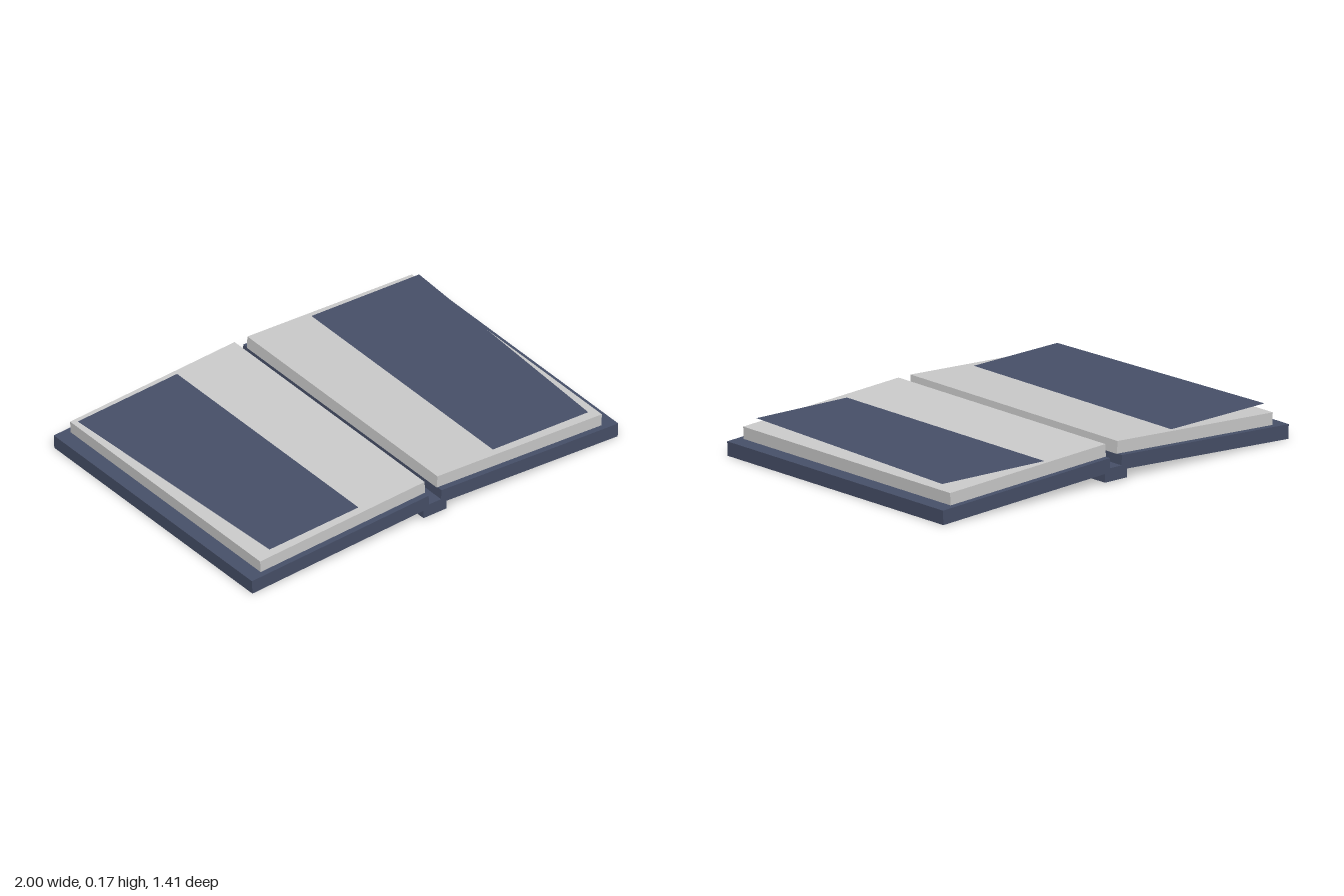
import * as THREE from 'three';

export function createModel() {
  const model = new THREE.Group();
  model.name = 'openBook';
  const navy = new THREE.MeshStandardMaterial({ color: 0x475069, side: THREE.DoubleSide });
  navy.name = 'navyCover';
  const paper = new THREE.MeshStandardMaterial({ color: 0xcccccc });
  paper.name = 'palePaper';

  const outline = (points, side) =>
    new THREE.Shape(points.map(([x, y]) => new THREE.Vector2(x * side, y)));

  // Extrude an x/y cross-section along z, centred on z = 0
  function slab(name, points, depth, material, side = 1) {
    const geometry = new THREE.ExtrudeGeometry(outline(points, side), { depth, bevelEnabled: false });
    geometry.translate(0, 0, -depth / 2);
    add(name, geometry, material);
  }

  function add(name, geometry, material) {
    const mesh = new THREE.Mesh(geometry, material);
    mesh.name = name;
    model.add(mesh);
    return mesh;
  }

  for (const [label, side] of [['left', 1], ['right', -1]]) {
    // Sloping cover board
    slab(label + 'Cover', [[0.032, 0.05], [0.997, 0], [1, 0.066], [0.035, 0.115]], 1.414, navy, side);

    // Page block resting on the board
    slab(label + 'Pages', [[0.032, 0.114], [0.93, 0.068], [0.933, 0.126], [0.035, 0.172]], 1.356, paper, side);

    // Level loose sheet, twisted slightly, sinking into the pages towards the spine
    const sheet = new THREE.ShapeGeometry(
      outline([[0.15, -0.666], [0.932, -0.625], [0.87, 0.663], [0.15, 0.63]], side));
    sheet.rotateX(Math.PI / 2);
    add(label + 'Sheet', sheet, navy).position.y = 0.155;
  }

  // Spine strip under the hinge
  slab('spine', [[-0.063, 0.009], [0.063, 0.009], [0.063, 0.069], [-0.063, 0.069]], 1.414, navy);

  return model;
}
